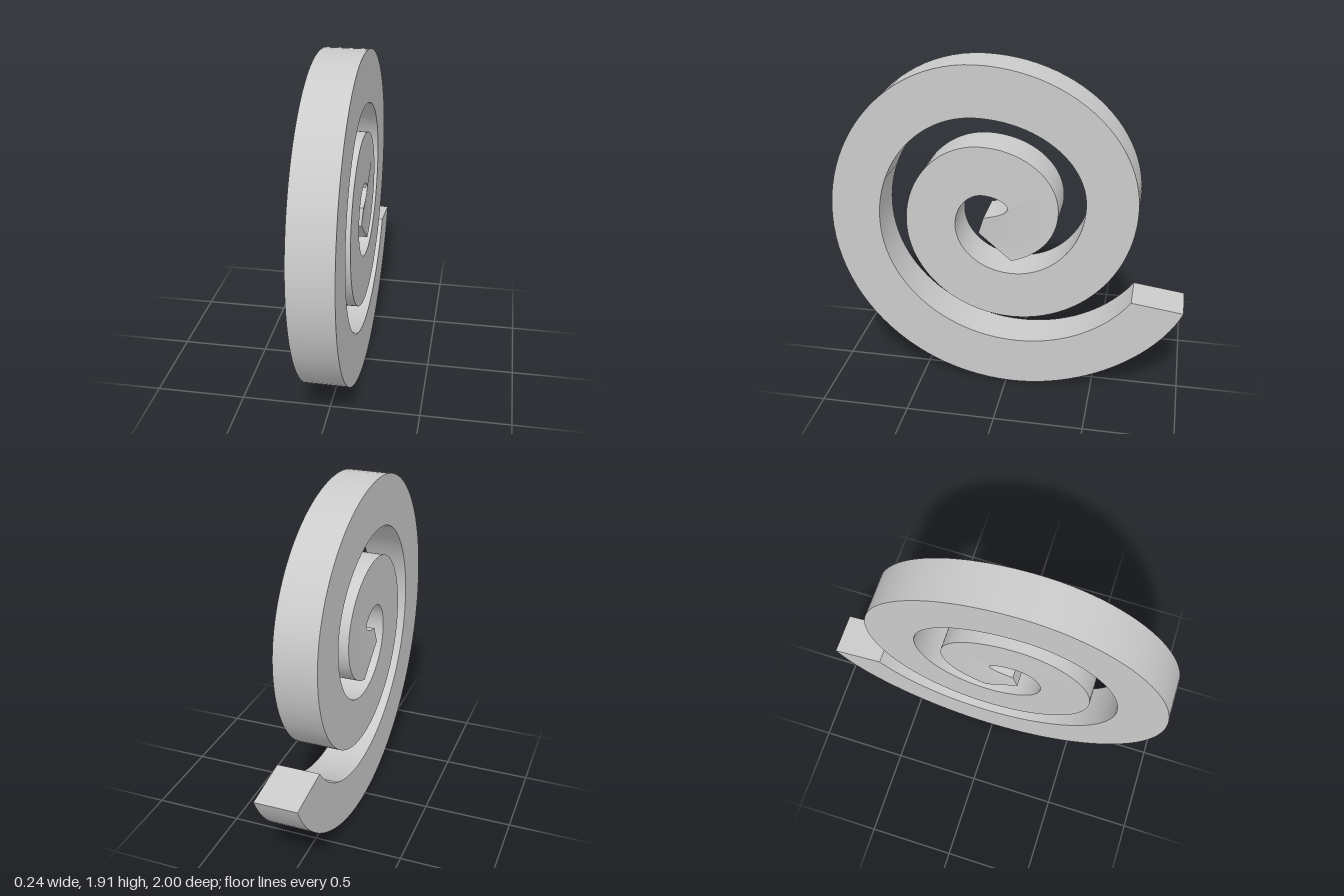
import * as THREE from 'three';
import { toCreasedNormals } from 'three/addons/utils/BufferGeometryUtils.js';

const K = 0.5523; // handle length of a quarter ellipse
const BACK = -0.117, FRONT = 0.122;

// Chains quarter ellipses through extreme points, starting horizontally.
function quarterArcs(shape, points) {
  for (let i = 0; i < points.length; i++) {
    const { x, y } = shape.currentPoint;
    const [u, v] = points[i];
    const dx = (u - x) * K, dy = (v - y) * K;
    if (i % 2 === 0) shape.bezierCurveTo(x + dx, y, u, v - dy, u, v);
    else shape.bezierCurveTo(x, y + dy, u - dx, v, u, v);
  }
}

function spiralShape() {
  const s = new THREE.Shape();
  // outer edge, from the tail inwards
  s.moveTo(1.0, 0.565);
  s.bezierCurveTo(0.86, 0.25, 0.45, 0, 0.04, 0);
  quarterArcs(s, [
    [-1.0, 1.0], [-0.16, 1.915], [0.72, 1.17], [0.035, 0.445],
    [-0.565, 1.0], [-0.14, 1.47], [0.29, 1.12],
  ]);
  s.bezierCurveTo(0.29, 0.97, 0.19, 0.85, 0.03, 0.805);
  // blunt inner end and hook
  s.lineTo(-0.155, 0.96);
  s.lineTo(-0.125, 1.055);
  s.bezierCurveTo(-0.05, 1.07, 0.005, 1.09, 0.012, 1.12);
  s.bezierCurveTo(0.005, 1.16, -0.07, 1.19, -0.13, 1.19);
  // inner edge, back out to the tail
  quarterArcs(s, [
    [-0.285, 1.0], [0.035, 0.725], [0.44, 1.17],
    [-0.16, 1.63], [-0.72, 1.0], [0.06, 0.285],
  ]);
  s.bezierCurveTo(0.33, 0.285, 0.57, 0.41, 0.71, 0.605);
  s.closePath();
  return s;
}

export function createModel() {
  const group = new THREE.Group();
  group.name = 'spiral';

  const geometry = new THREE.ExtrudeGeometry(spiralShape(), {
    depth: FRONT - BACK, bevelEnabled: false, curveSegments: 24,
  });
  geometry.translate(0, 0, BACK);

  // the innermost corner is tilted slightly to one side
  const p = geometry.attributes.position;
  for (let i = 0; i < p.count; i++) {
    if (Math.hypot(p.getX(i) + 0.155, p.getY(i) - 0.96) < 0.01) p.setZ(i, p.getZ(i) - 0.006);
  }
  geometry.rotateY(Math.PI / 2);

  const band = new THREE.Mesh(
    toCreasedNormals(geometry, 0.5),
    new THREE.MeshStandardMaterial({ color: 0xcccccc }),
  );
  band.name = 'spiralBand';
  group.add(band);
  return group;
}
